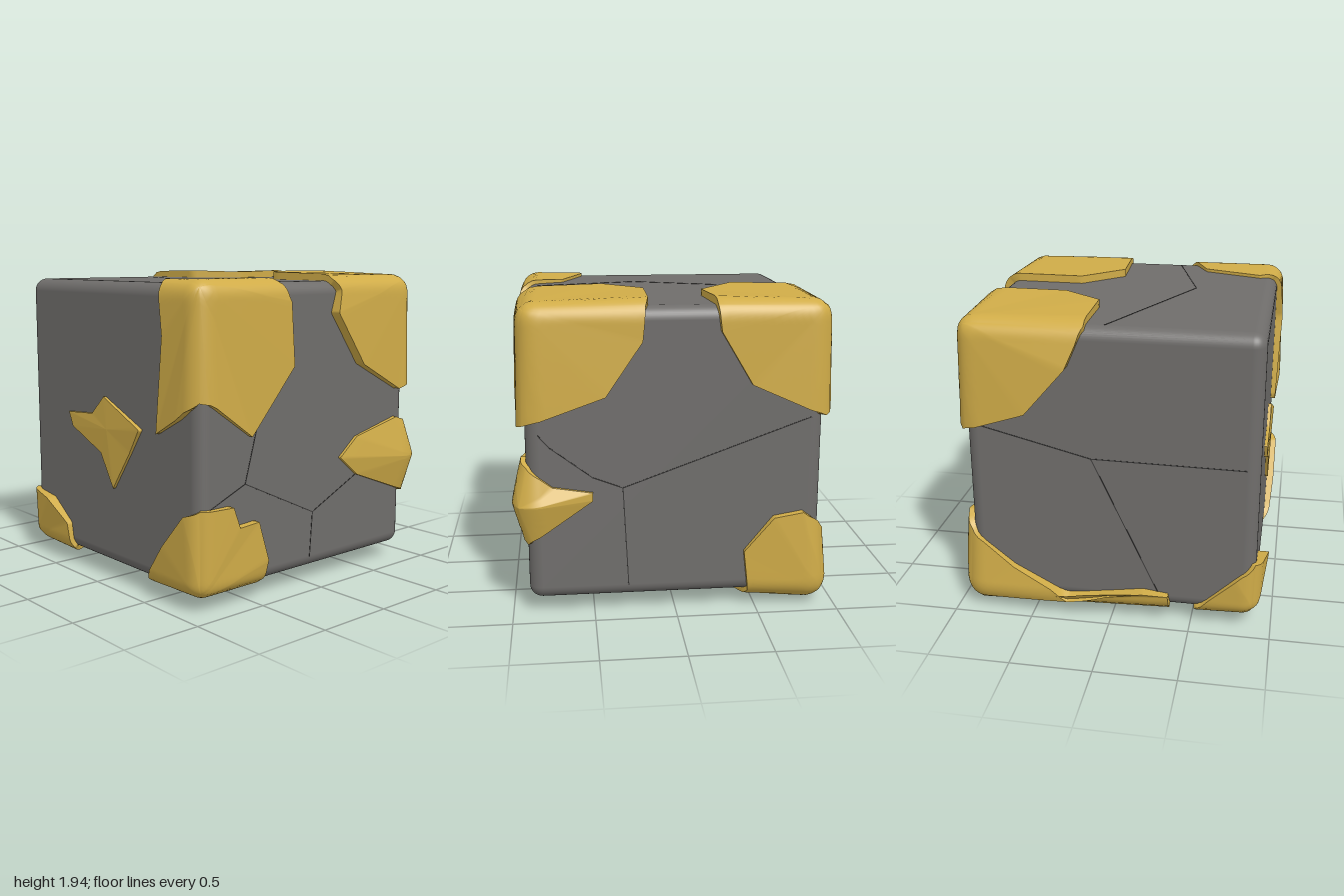
import * as THREE from 'three';
import { RoundedBoxGeometry } from 'three/addons/geometries/RoundedBoxGeometry.js';

const E = 0.895;   // half side of the block
const R = 0.08;    // edge rounding
const MID = 1.0;   // height of the block centre

// Places a pair of view coordinates on one face: [x,y], [z,y] or [x,z]
const onFace = {
  F: (a, b) => [a, b - MID, E], B: (a, b) => [a, b - MID, -E],
  R: (a, b) => [E, b - MID, a], L: (a, b) => [-E, b - MID, a],
  T: (a, b) => [a, E, b], D: (a, b) => [a, -E, b],
};
const clampE = (v, m) => Math.max(-m, Math.min(m, v));

// Pushes a point of the sharp cube onto the rounded cube, raised by h
function lift(p, h) {
  const q = new THREE.Vector3(clampE(p.x, E - R), clampE(p.y, E - R), clampE(p.z, E - R));
  const n = p.clone().sub(q).normalize();
  return q.addScaledVector(n, R + h);
}

// Face point [face, a, b, height]
function facePoint([f, a, b, h = 0.05]) {
  const p = new THREE.Vector3(...onFace[f](a, b));
  return { p: p.set(clampE(p.x, E), clampE(p.y, E), clampE(p.z, E)), h };
}

// Shell fanned out from a centre to a closed outline that may bend around edges, plus its rim
function shellGeometry(centre, outline) {
  const c = facePoint(centre), pts = outline.map(facePoint);
  const area = new THREE.Vector3();
  pts.forEach((o, i) => {
    const n = pts[(i + 1) % pts.length];
    area.add(o.p.clone().sub(c.p).cross(n.p.clone().sub(c.p)));
  });
  if (area.dot(c.p) < 0) pts.reverse();

  const SUB = 10, RINGS = 16, loop = [];
  pts.forEach((o, i) => {
    const n = pts[(i + 1) % pts.length];
    for (let k = 0; k < SUB; k++) {
      const t = k / SUB;
      loop.push({ p: o.p.clone().lerp(n.p, t), h: THREE.MathUtils.lerp(o.h, n.h, t) });
    }
  });

  const pos = [], idx = [], n = loop.length;
  const ring = (s, hOf) => loop.forEach(o =>
    pos.push(...lift(c.p.clone().lerp(o.p, s), hOf(o)).toArray()));
  const bridge = (a, b) => {
    for (let i = 0; i < n; i++) {
      const j = (i + 1) % n;
      idx.push(a * n + i, b * n + i, b * n + j, a * n + i, b * n + j, a * n + j);
    }
  };
  for (let r = 0; r <= RINGS; r++) {
    const s = Math.max(0.002, (r / RINGS) ** 1.3);
    ring(s, o => THREE.MathUtils.lerp(c.h, o.h, s));
    if (r) bridge(r - 1, r);
  }
  ring(1, o => o.h);       // duplicated ring keeps the rim sharp
  ring(1, () => -0.02);
  bridge(RINGS + 1, RINGS + 2);

  const g = new THREE.BufferGeometry();
  g.setAttribute('position', new THREE.Float32BufferAttribute(pos, 3));
  g.setIndex(idx);
  g.computeVertexNormals();
  return g;
}

// Each shell: centre, then outline points [face, a, b, height]
const SHELLS = {
  frontTopRightShell: [['F', -E, 1.9, 0.03], [
    ['F', -0.9, 1.24], ['F', -0.84, 1.23], ['F', -0.52, 1.01, 0.03], ['F', -0.2, 1.4], ['F', -0.23, 1.78],
    ['F', -0.28, 1.9, 0.03], ['T', -0.4, 0.64, 0.02], ['T', -0.78, 0.5, 0.02], ['T', -0.9, 0.56, 0.03],
    ['L', 0.62, 1.6], ['L', 0.53, 1.02, 0.03], ['L', 0.74, 1.13]]],
  frontTopLeftShell: [['F', E, 1.9, 0.03], [
    ['F', 0.9, 1.21], ['F', 0.78, 1.18], ['F', 0.4, 1.37, 0.07], ['F', 0.16, 1.7, 0.07], ['F', 0.2, 1.83],
    ['F', 0.17, 1.9, 0.04], ['T', 0.14, 0.4], ['T', 0.39, 0.15], ['T', 0.82, 0.16], ['R', 0.18, 1.9],
    ['R', 0.2, 1.7], ['R', 0.42, 1.38, 0.06]]],
  backTopLeftShell: [['B', E, 1.9, 0.03], [
    ['T', 0.9, -0.24], ['T', 0.41, -0.21, 0.04], ['T', 0.15, -0.44], ['T', 0.15, -0.9, 0.04],
    ['B', 0.25, 1.66, 0.09], ['B', 0.5, 1.37, 0.09], ['B', 0.9, 1.23], ['R', -0.45, 1.43, 0.04], ['R', -0.26, 1.75]]],
  frontBottomRightShell: [['F', -E, 0.1, 0.02], [
    ['F', -0.9, 0.62, 0.03], ['F', -0.68, 0.62], ['F', -0.63, 0.49], ['F', -0.48, 0.5], ['F', -0.4, 0.25],
    ['F', -0.41, 0.1, 0.02], ['D', -0.52, 0.5, 0.03], ['D', -0.9, 0.4, 0.03], ['L', 0.6, 0.36], ['L', 0.8, 0.58]]],
  frontLeftEdgeShell: [['F', E, 0.72, 0.1], [
    ['F', 0.9, 0.95, 0.03], ['F', 0.78, 0.99, 0.03], ['F', 0.4, 0.9, 0.02], ['F', 0.25, 0.78, 0.02],
    ['F', 0.41, 0.65, 0.02], ['F', 0.9, 0.47, 0.03], ['R', 0.5, 0.74, 0.02], ['R', 0.5, 0.79, 0.02], ['R', 0.74, 0.83, 0.02]]],
  backBottomLeftShell: [['B', E, 0.1, 0.07], [
    ['R', -0.9, 0.54, 0.03], ['R', -0.78, 0.63], ['R', -0.6, 0.6], ['R', -0.42, 0.38, 0.03], ['R', -0.45, 0.1, 0.03],
    ['D', 0.4, -0.26, 0.06], ['D', 0.1, -0.17, 0.04], ['D', 0, -0.45, 0.1], ['D', -0.3, -0.5, 0.06],
    ['D', -0.37, -0.9, 0.03], ['B', -0.36, 0.2], ['B', -0.2, 0.22, 0.08], ['B', 0.05, 0.18, 0.09],
    ['B', 0.28, 0.14, 0.08], ['B', 0.62, 0.32]]],
  backBottomRightShell: [['B', -E, 0.1, 0.02], [
    ['B', -0.9, 0.45, 0.03], ['B', -0.78, 0.35], ['B', -0.52, 0.1, 0.03], ['D', -0.65, -0.6],
    ['D', -0.9, -0.42, 0.03], ['L', -0.45, 0.28, 0.04], ['L', -0.65, 0.42, 0.07]]],
  rightSideShard: [['L', 0.02, 0.98, 0.03], [
    ['L', -0.42, 1.04, 0.02], ['L', -0.15, 1.06, 0.02], ['L', -0.02, 1.18, 0.02], ['L', 0.36, 1.02, 0.03],
    ['L', 0.25, 0.86, 0.02], ['L', 0.07, 0.61, 0.02], ['L', -0.06, 0.82, 0.02], ['L', -0.38, 0.95, 0.02]]],
};

// Hairline cracks: face and polyline
const CRACKS = [
  ['F', [[-0.46, 1.05], [-0.55, 0.73], [0.02, 0.465], [0.41, 0.645]]],
  ['F', [[-0.55, 0.73], [-0.84, 0.61]]], ['F', [[0.02, 0.465], [0, 0.18]]],
  ['R', [[0.82, 1.15], [0.75, 1.07], [0.5, 0.88], [0.32, 0.81], [-0.82, 1.22]]],
  ['R', [[0.32, 0.81], [0.29, 0.18]]],
  ['T', [[0.04, -0.82], [-0.38, 0.15], [-0.2, 0.81]]],
  ['B', [[0.8, 1.25], [0.12, 1.08], [-0.82, 1.07]]], ['B', [[0.12, 1.08], [-0.3, 0.19]]],
];

export function createModel() {
  const stone = new THREE.MeshStandardMaterial({ color: 0x6f6d6b });
  stone.name = 'grey stone';
  const gold = new THREE.MeshStandardMaterial({ color: 0xd0ac48 });
  gold.name = 'gold';
  const crack = new THREE.MeshStandardMaterial({ color: 0x3a3938 });
  crack.name = 'dark crack';

  const model = new THREE.Group();
  model.name = 'goldCorneredBlock';
  const add = (geo, mat, name, parent = model) => {
    const m = new THREE.Mesh(geo, mat);
    m.name = name;
    parent.add(m);
    return m;
  };

  // Rounded block
  add(new RoundedBoxGeometry(2 * E, 2 * E, 2 * E, 5, R), stone, 'block');

  // Gold shells over the corners and sides
  for (const [name, [centre, outline]] of Object.entries(SHELLS))
    add(shellGeometry(centre, outline), gold, name);

  // Cracks as very thin strips lying on the faces
  const cracks = new THREE.Group();
  cracks.name = 'cracks';
  model.add(cracks);
  for (const [f, line] of CRACKS) {
    for (let i = 1; i < line.length; i++) {
      const a = new THREE.Vector3(...onFace[f](...line[i - 1]));
      const b = new THREE.Vector3(...onFace[f](...line[i]));
      const strip = add(new THREE.BoxGeometry(0.006, 0.004, a.distanceTo(b)), crack, 'crack', cracks);
      strip.position.copy(a).add(b).multiplyScalar(0.5);
      strip.up.set(...onFace[f](0, f === 'T' ? 0 : MID)).normalize();
      strip.lookAt(b);
    }
  }

  model.children.forEach(c => { c.position.y += MID; });
  return model;
}
